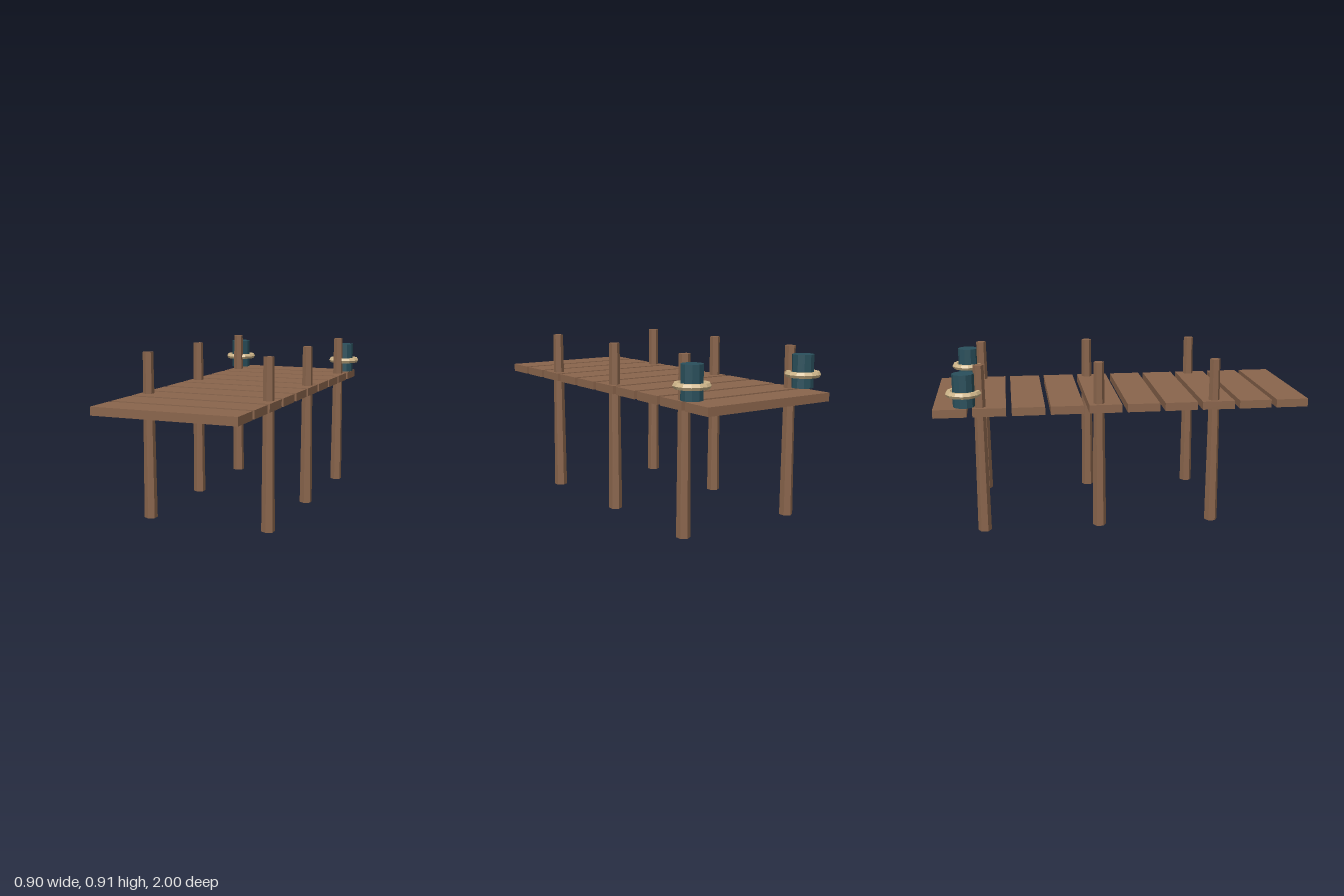
import * as THREE from 'three';

const material = (color) => new THREE.MeshStandardMaterial({ color, flatShading: true });

export function createModel() {
  const pier = new THREE.Group();
  pier.name = 'pier';
  const wood = material(0x8a654c);
  const iron = material(0x2a505c);
  const rope = material(0xcfb68a);

  const add = (name, geometry, mat, x, y, z) => {
    const mesh = new THREE.Mesh(geometry, mat);
    mesh.name = name;
    mesh.position.set(x, y, z);
    pier.add(mesh);
  };

  // Deck of evenly spaced planks
  const plankCount = 10, plankDepth = 0.174;
  const pitch = (2 - plankDepth) / (plankCount - 1);
  const plank = new THREE.BoxGeometry(0.776, 0.044, plankDepth);
  for (let i = 0; i < plankCount; i++) {
    add('plank', plank, wood, 0, 0.664, -1 + plankDepth / 2 + i * pitch);
  }

  // Tapered six-sided piles, plus a bollard and rope ring at each back corner
  const pile = new THREE.CylinderGeometry(0.028, 0.036, 0.908, 6);
  const bollard = new THREE.CylinderGeometry(0.057, 0.057, 0.173, 10);
  const ring = new THREE.TorusGeometry(0.077, 0.0173, 6, 14).rotateX(Math.PI / 2);
  for (const side of [-1, 1]) {
    for (const z of [0.49, -0.134, -0.758]) add('pile', pile, wood, side * 0.343, 0.454, z);
    add('bollard', bollard, iron, side * 0.358, 0.782, -0.838);
    add('ropeRing', ring, rope, side * 0.358, 0.766, -0.838);
  }
  return pier;
}
